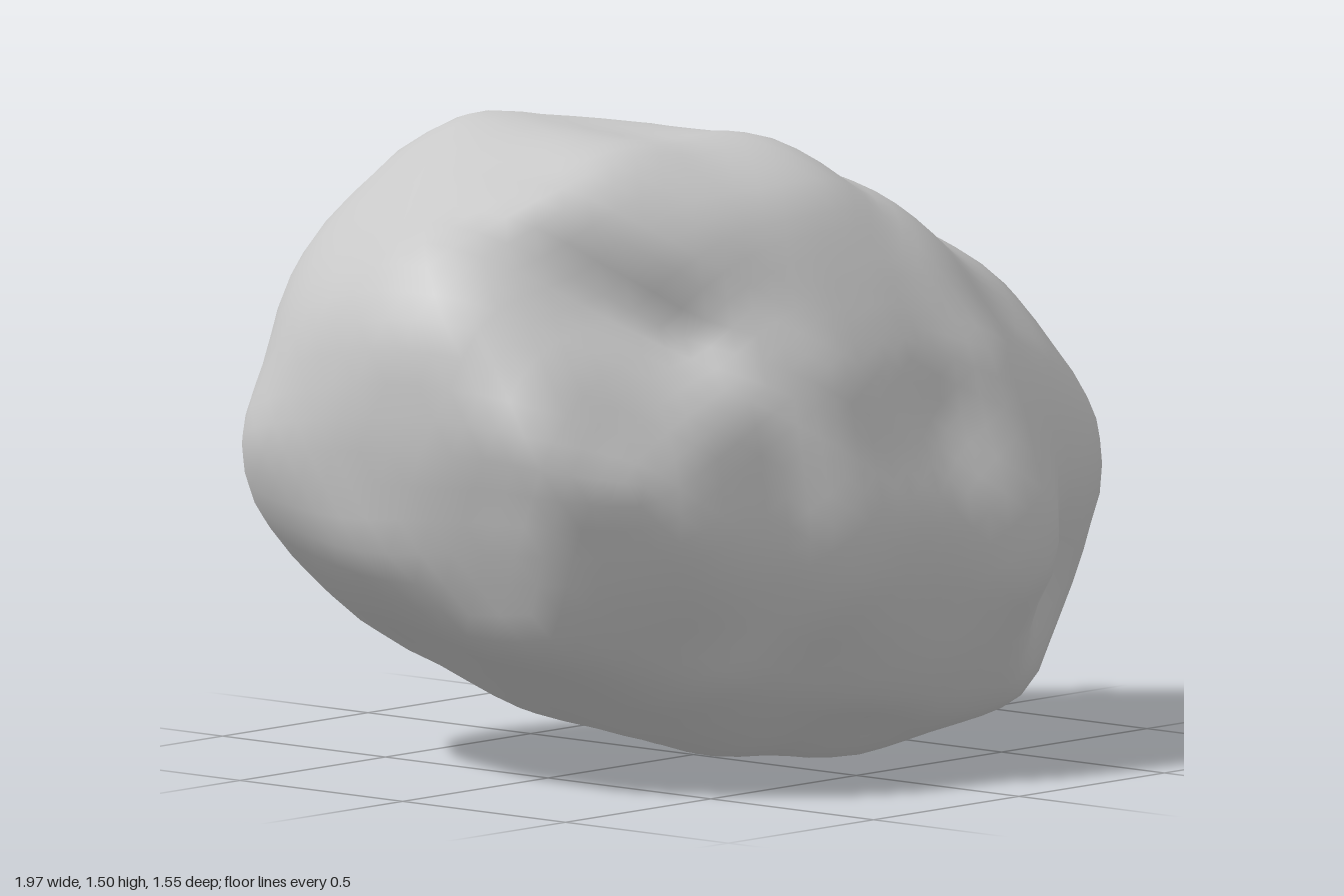
import * as THREE from 'three';
import { mergeVertices } from 'three/addons/utils/BufferGeometryUtils.js';

const MID = 0.75; // height of the boulder's centre

// Outlines of the boulder, measured from its centre
const frontRim = [[-1, .05], [-.98, .4], [-.8, .56], [-.4, .75], [.04, .7], [.2, .6], [.44, .57], [.8, .3],
  [.96, .06], [.995, -.15], [.83, -.52], [.62, -.62], [.23, -.745], [-.2, -.71], [-.8, -.42], [-.95, -.21]];
const sideRim = [[.8, -.23], [.7, .08], [.65, .22], [.4, .6], [.22, .71], [-.38, .755], [-.6, .63],
  [-.72, .38], [-.8, -.19], [-.72, -.4], [-.6, -.54], [-.32, -.67], [.28, -.75], [.58, -.63], [.68, -.45]];
const topRim = [[-1, -.2], [-.92, -.59], [-.7, -.77], [-.4, -.8], [.06, -.69], [.14, -.7], [.44, -.51],
  [.8, -.28], [.92, -.14], [.995, .12], [.88, .43], [.75, .57], [.53, .63], [.33, .795], [.2, .73],
  [-.2, .65], [-.36, .57], [-.65, .54], [-.92, .37], [-.98, .1]];
const slantRim = [[0, .92], [.3, .67], [.38, .67], [.53, .51], [.67, .29], [.74, .05], [.84, -.3], [.8, -.54],
  [.52, -.77], [.17, -.875], [-.05, -.86], [-.55, -.51], [-.845, -.22], [-.99, .14], [-.815, .565], [-.64, .745],
  [-.28, .87]];
const backSlantRim = [[-.52, .565], [.01, .7], [.17, .71], [.47, .555], [.62, .41], [.6, .315], [.815, .17],
  [.98, -.06], [.75, -.55], [.035, -.77], [-.11, -.77], [-.36, -.64], [-.81, -.27], [-.845, .06], [-.76, .375]];

// Places an outline in a plane turned about y and then tilted, in degrees
function outline(turn, tilt, pts) {
  const a = THREE.MathUtils.degToRad(turn), e = THREE.MathUtils.degToRad(tilt);
  return {
    u: new THREE.Vector3(Math.cos(a), 0, -Math.sin(a)),
    v: new THREE.Vector3(-Math.sin(a) * Math.sin(e), Math.cos(e), -Math.cos(a) * Math.sin(e)),
    pts,
  };
}
const outlines = [
  outline(35, 27.5, slantRim),
  outline(215, 27.5, backSlantRim),
  outline(0, 0, frontRim),
  outline(-90, 0, sideRim),
  outline(0, -90, topRim),
];

// Dents (negative) and lumps (positive): x, y, z, width, depth
const marks = [
  [-.68, 1.17, .25, .14, -.06], [-.5, 1.12, .4, .13, -.06], // notch under the upper ledge
  [.15, .81, .63, .16, -.04], // crease under the sloping face
  [.28, .57, .7, .1, -.04], [.48, .42, .6, .13, -.04], [.36, .5, .78, .12, .03],
  [.9, .62, .05, .15, -.04], [.85, .55, -.25, .16, .03],
  [-.6, .62, .5, .15, -.03], [-.2, .5, .65, .18, .03],
  [-.05, 1.2, -.65, .14, -.04], [.1, .9, -.7, .16, -.04], // groove down the back
];

// Distance from the centre to an outline along a 2D direction
function reach(pts, dx, dy) {
  let best = 0;
  for (let i = 0; i < pts.length; i++) {
    const [ax, ay] = pts[i], [bx, by] = pts[(i + 1) % pts.length];
    const ex = bx - ax, ey = by - ay;
    const den = dx * ey - dy * ex;
    if (Math.abs(den) < 1e-9) continue;
    const t = (ax * ey - ay * ex) / den;
    const s = (ax * dy - ay * dx) / den;
    if (t > 0 && s >= -1e-6 && s <= 1 + 1e-6) best = Math.max(best, t);
  }
  return best || 0.7;
}

// Scales vertices near the rim of one outline so that the rim meets it
function fitOutline(points, { u, v, pts }) {
  const BINS = 48;
  const peak = new Array(BINS).fill(0.02);
  const info = points.map((p) => {
    const x = p.dot(u), y = p.dot(v), r = Math.hypot(x, y) || 1e-6;
    const q = r / reach(pts, x / r, y / r);
    const f = (Math.atan2(y, x) / (2 * Math.PI) + 1) % 1 * BINS;
    const k = Math.floor(f) % BINS;
    peak[k] = Math.max(peak[k], q);
    return { x, y, q, f };
  });
  points.forEach((p, i) => {
    const { x, y, q, f } = info[i];
    const g = f - 0.5 + BINS, k = Math.floor(g), t = g - k;
    const m = peak[k % BINS] * (1 - t) + peak[(k + 1) % BINS] * t;
    const s = (1 / m - 1) * Math.min(1, q / m) ** 4;
    p.addScaledVector(u, x * s).addScaledVector(v, y * s);
  });
}

// Moves every vertex halfway to the average of its neighbours
function relax(points, index) {
  const sums = points.map(() => new THREE.Vector3());
  const counts = points.map(() => 0);
  for (let i = 0; i < index.count; i++) {
    const a = index.getX(i), b = index.getX(i % 3 === 2 ? i - 2 : i + 1);
    sums[a].add(points[b]);
    counts[a]++;
  }
  points.forEach((p, i) => p.lerp(sums[i].divideScalar(counts[i]), 0.5));
}

function boulderGeometry() {
  let geo = new THREE.IcosahedronGeometry(1, 14);
  geo.deleteAttribute('uv');
  geo.deleteAttribute('normal');
  geo = mergeVertices(geo, 1e-4);
  const pos = geo.attributes.position;
  const points = [];
  for (let i = 0; i < pos.count; i++) {
    const d = new THREE.Vector3().fromBufferAttribute(pos, i).normalize();
    // Blend the outlines into one rounded radius
    let top = 0, sum = 0;
    for (const { u, v, pts } of outlines) {
      const x = d.dot(u), y = d.dot(v), r = Math.hypot(x, y);
      if (r < 1e-6) continue;
      top += r * r;
      sum += (r / reach(pts, x / r, y / r)) ** 2;
    }
    points.push(d.multiplyScalar(Math.sqrt(top / sum)));
  }
  for (let n = 0; n < 8; n++) {
    outlines.forEach((o) => fitOutline(points, o));
    for (let j = 0; j < 3; j++) relax(points, geo.index);
  }
  outlines.forEach((o) => fitOutline(points, o));

  // Fine unevenness, then the individual dents and lumps
  for (const p of points) {
    const d = p.clone().normalize();
    let push = 0.01 * Math.sin(7 * p.x + 3 * p.y + 1) * Math.sin(6 * p.y - 4 * p.z)
      + 0.006 * Math.sin(11 * p.z + 5 * p.x) * Math.sin(12 * p.y + 2);
    for (const [x, y, z, w, h] of marks) {
      const m = new THREE.Vector3(x, y - MID, z).normalize();
      push += h * Math.exp(-((d.distanceTo(m) * p.length() / w) ** 2));
    }
    p.addScaledVector(d, push);
  }
  outlines.forEach((o) => fitOutline(points, o));
  points.forEach((p, i) => pos.setXYZ(i, p.x, p.y, p.z));

  // Stand it on the ground, centred
  geo.computeBoundingBox();
  const box = geo.boundingBox, c = box.getCenter(new THREE.Vector3());
  geo.translate(-c.x, -box.min.y, -c.z);
  geo.computeVertexNormals();
  return geo;
}

export function createModel() {
  const stone = new THREE.MeshStandardMaterial({ color: 0xc8c8c8 });
  stone.name = 'pale grey stone';
  const boulder = new THREE.Mesh(boulderGeometry(), stone);
  boulder.name = 'boulder';
  const group = new THREE.Group();
  group.name = 'rock';
  group.add(boulder);
  return group;
}
